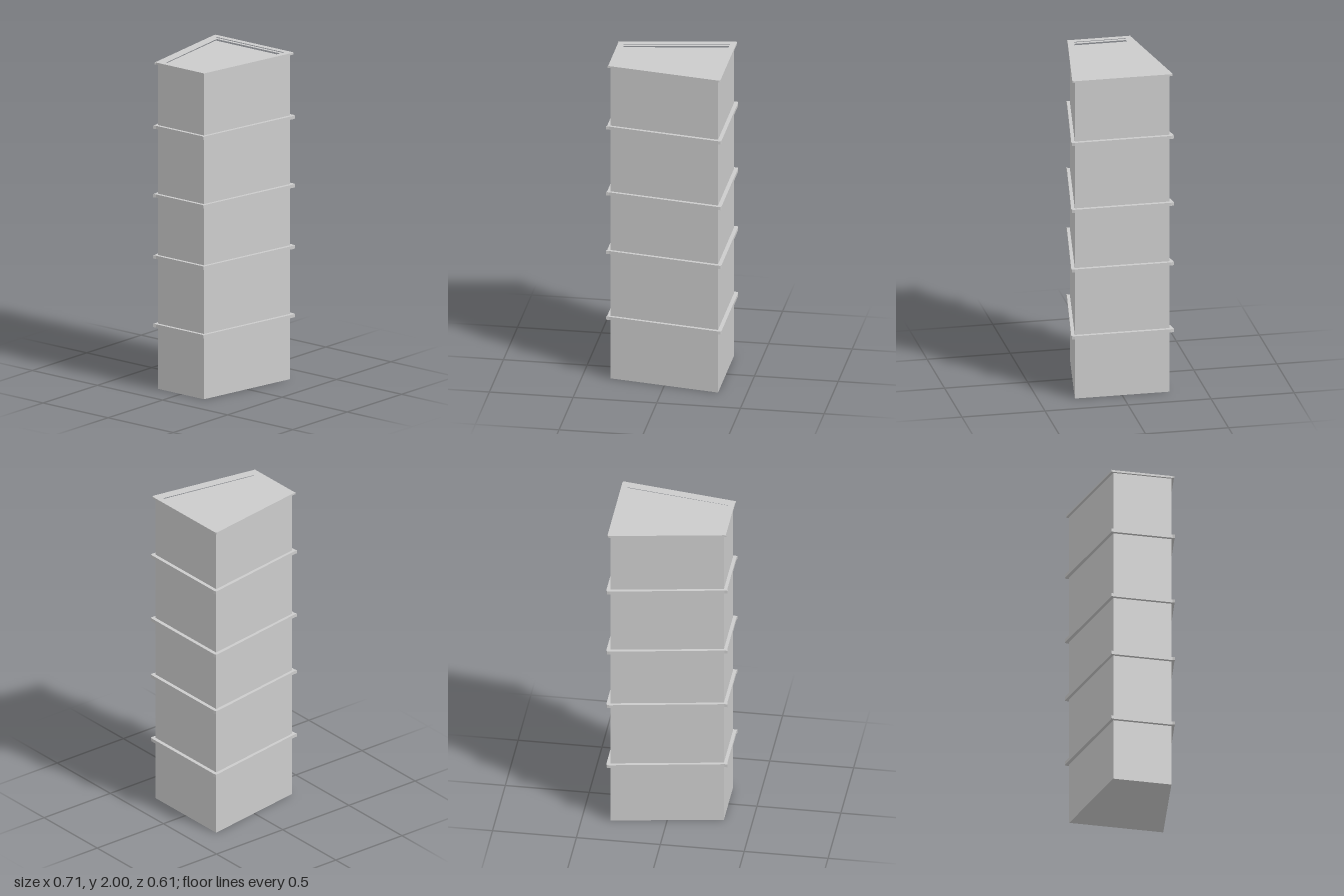
import * as THREE from 'three';

const material = new THREE.MeshStandardMaterial({ color: 0xcccccc, flatShading: true });

// Plan outline from its +z half (listed from -x to +x), mirrored across z.
function outline(half) {
  const mirrored = half.map(([x, z]) => [x, -z]).reverse();
  return [...half, ...mirrored].map(([x, z]) => new THREE.Vector2(x, z));
}

// Upright slab with the given plan, from y0 to y1, with an optional hole.
function slab(name, half, y0, y1, hole) {
  const shape = new THREE.Shape(outline(half));
  if (hole) shape.holes.push(new THREE.Path(outline(hole)));
  const geometry = new THREE.ExtrudeGeometry(shape, { depth: y1 - y0, bevelEnabled: false });
  geometry.rotateX(-Math.PI / 2).translate(0, y0, 0);
  const mesh = new THREE.Mesh(geometry, material);
  mesh.name = name;
  return mesh;
}

export function createModel() {
  const group = new THREE.Group();
  group.name = 'tower';

  const wall = [[-0.33, 0.176], [0.33, 0.285]];
  const recess = [[-0.307, 0.155], [0.31, 0.26]];
  // Ledges have slightly clipped and flared corners
  const ledge = [[-0.35, 0.177], [-0.355, 0.193], [-0.336, 0.193], [0.332, 0.307], [0.348, 0.307], [0.353, 0.29]];
  const cornice = [[-0.343, 0.18], [-0.347, 0.19], [-0.334, 0.19], [0.331, 0.301], [0.342, 0.301], [0.346, 0.29]];

  // Tapered-plan tower body, its top forming the sunken roof
  group.add(slab('body', wall, 0, 1.97));

  // Parapet and thin cornice round the roof
  group.add(slab('parapet', wall, 1.97, 1.988, recess));
  group.add(slab('cornice', cornice, 1.988, 2, recess));

  // Ledges between storeys
  [0.39, 0.81, 1.185, 1.605].forEach((y, i) => {
    group.add(slab(`ledge${i + 1}`, ledge, y - 0.01, y + 0.01, wall));
  });

  return group;
}
